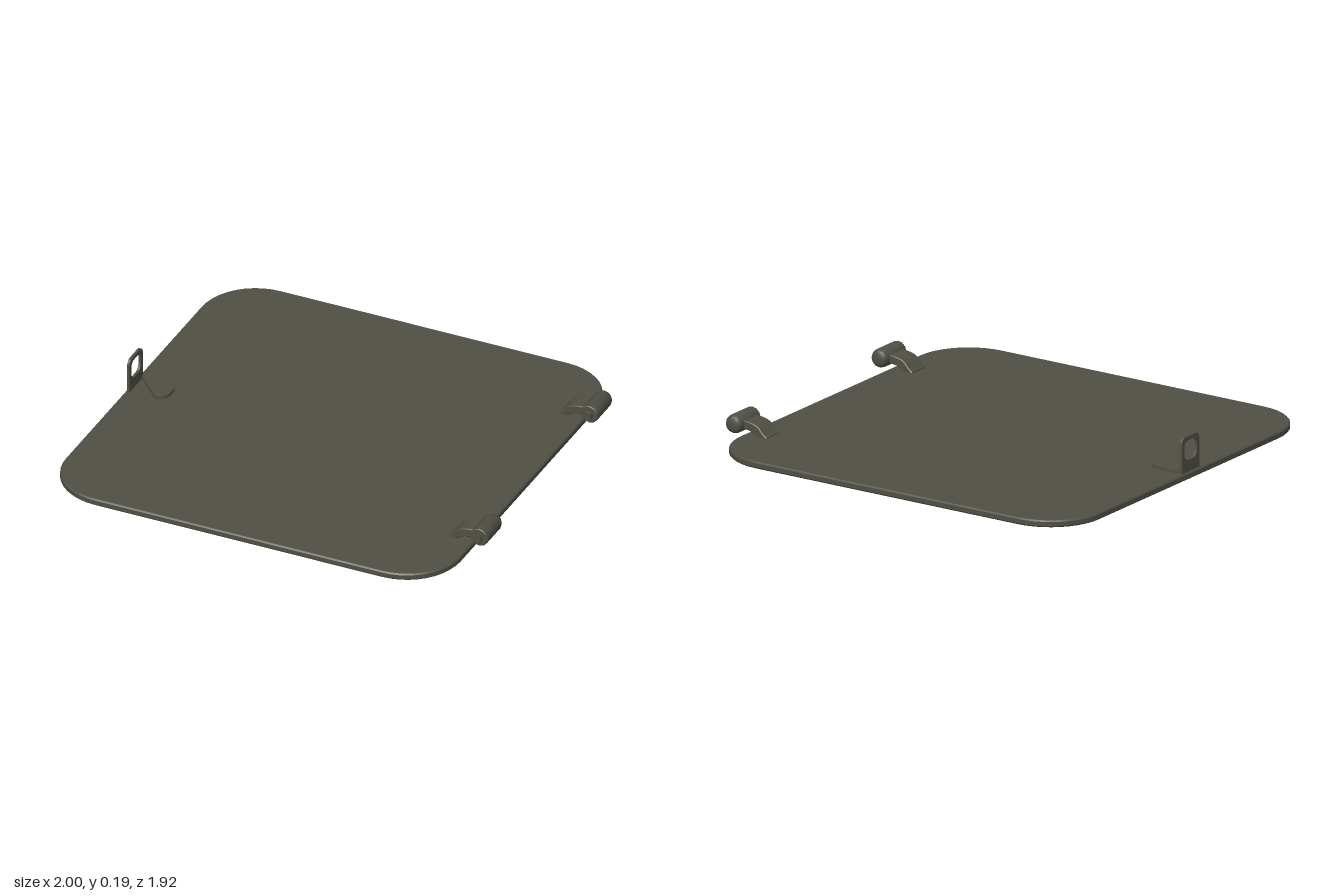
import * as THREE from 'three';
import { toCreasedNormals } from 'three/addons/utils/BufferGeometryUtils.js';

// Rounded rectangle; radii run bottom-left, bottom-right, top-right, top-left
function roundedRect(x0, y0, x1, y1, radii, Type = THREE.Shape) {
  const path = new Type();
  const corners = [[x0, y0, 1, 1], [x1, y0, -1, 1], [x1, y1, -1, -1], [x0, y1, 1, -1]];
  corners.forEach(([x, y, sx, sy], i) => {
    const r = radii[i];
    const start = Math.PI * (1 + i / 2);
    if (r > 0) path.absarc(x + sx * r, y + sy * r, r, start, start + Math.PI / 2, false);
    else if (i === 0) path.moveTo(x, y);
    else path.lineTo(x, y);
  });
  path.closePath();
  return path;
}

// Extrusion whose total depth runs from 0 to depth, with the outline kept as its outer limit
function slab(shape, depth, bevel, curveSegments = 5) {
  const geometry = new THREE.ExtrudeGeometry(shape, {
    depth: depth - 2 * bevel, curveSegments, bevelEnabled: bevel > 0,
    bevelSize: bevel, bevelThickness: bevel, bevelOffset: -bevel, bevelSegments: 1,
  });
  return geometry.translate(0, 0, bevel);
}

export function createModel() {
  const model = new THREE.Group();
  model.name = 'hatchCover';
  const paint = new THREE.MeshStandardMaterial({ color: 0x504f44 });
  paint.name = 'olive grey paint';

  const add = (parent, name, geometry, crease = 0.6) => {
    const mesh = new THREE.Mesh(toCreasedNormals(geometry, crease), paint);
    mesh.name = name;
    parent.add(mesh);
    return mesh;
  };

  // Cover plate
  const cover = slab(roundedRect(-1, -0.96, 0.92, 0.96, [0.26, 0.26, 0.26, 0.26]), 0.032, 0.006);
  add(model, 'coverPlate', cover.rotateX(-Math.PI / 2));

  // Padlock bracket: foot on the cover and upright tab with a hole
  const latch = new THREE.Group();
  latch.name = 'latchBracket';
  latch.position.z = 0.023;
  model.add(latch);

  const foot = slab(roundedRect(-0.985, -0.068, -0.805, 0.068, [0, 0.05, 0.05, 0]), 0.016, 0);
  add(latch, 'latchFoot', foot.rotateX(-Math.PI / 2)).position.y = 0.03;

  const tab = roundedRect(-0.068, 0.03, 0.068, 0.195, [0, 0, 0.03, 0.03]);
  tab.holes.push(roundedRect(-0.049, 0.085, 0.049, 0.177, [0.035, 0.035, 0.028, 0.028], THREE.Path));
  add(latch, 'latchTab', slab(tab, 0.012, 0).rotateY(-Math.PI / 2)).position.x = -0.978;

  // Hinges: bent arm, barrel rounded at its rear end, and protruding pin
  const arm = new THREE.Shape();
  arm.moveTo(0.798, 0.028);
  arm.lineTo(0.838, 0.028);
  arm.quadraticCurveTo(0.86, 0.055, 0.935, 0.058);
  arm.lineTo(0.935, 0.096);
  arm.quadraticCurveTo(0.86, 0.095, 0.838, 0.073);
  arm.quadraticCurveTo(0.815, 0.045, 0.798, 0.036);
  arm.closePath();

  const barrelProfile = [
    [0, -0.082], [0.026, -0.082], [0.037, -0.076], [0.043, -0.062],
    [0.043, 0.078], [0.039, 0.082], [0, 0.082],
  ].map(([r, y]) => new THREE.Vector2(r, y));

  for (const [name, z] of [['rearHinge', -0.622], ['frontHinge', 0.509]]) {
    const hinge = new THREE.Group();
    hinge.name = name;
    hinge.position.z = z;
    model.add(hinge);

    add(hinge, 'hingeArm', slab(arm, 0.106, 0.004, 4)).position.z = -0.046;

    const barrel = add(hinge, 'hingeBarrel',
      new THREE.LatheGeometry(barrelProfile, 12).rotateX(Math.PI / 2), 0.7);
    barrel.position.set(0.957, 0.078, 0);

    const pin = add(hinge, 'hingePin',
      new THREE.CylinderGeometry(0.02, 0.02, 0.06, 8).rotateX(Math.PI / 2), 0.9);
    pin.position.set(0.957, 0.078, 0.073);
  }

  return model;
}
